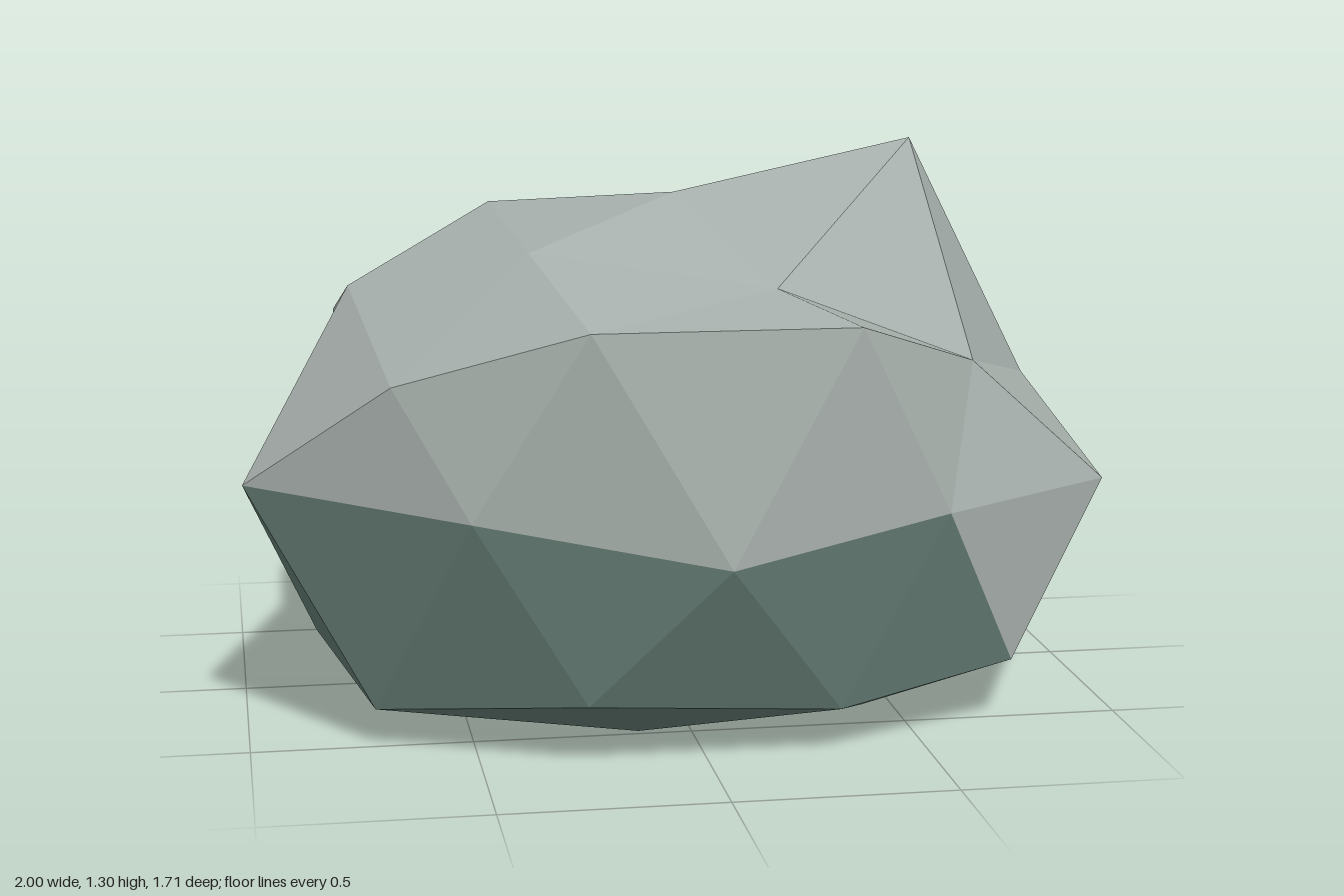
import * as THREE from 'three';

// Cross-sections of the boulder, top to bottom; points run round from +x towards +z.
const crown = [0.03, 1.185, 0.05];
const shoulder = [[0.6, 1.305, 0.05], [0.19, 1.02, 0.51], [-0.35, 1.09, 0.36], [-0.38, 1.135, -0.24], [0.2, 1.12, -0.39]];
const upper = [
  [0.89, 0.73, 0.05], [0.65, 0.84, 0.48], [0.33, 0.97, 0.76], [-0.27, 0.98, 0.81], [-0.68, 0.84, 0.61],
  [-0.74, 0.98, 0.05], [-0.75, 0.84, -0.49], [-0.25, 0.81, -0.68], [0.26, 0.86, -0.72], [0.71, 0.81, -0.45],
];
const waist = [
  [1, 0.53, 0.37], [0.55, 0.535, 0.69], [0.03, 0.465, 0.855], [-0.52, 0.56, 0.74], [-1, 0.58, 0.36],
  [-0.8, 0.55, -0.25], [-0.52, 0.48, -0.75], [0.03, 0.485, -0.855], [0.58, 0.48, -0.62], [0.9, 0.495, -0.26],
];
const lower = [
  [0.83, 0.1, 0.05], [0.74, 0.148, 0.54], [0.3, 0.105, 0.72], [-0.27, 0.145, 0.75], [-0.72, 0.09, 0.51],
  [-0.83, 0.152, 0.05], [-0.63, 0.125, -0.43], [-0.21, 0.14, -0.68], [0.31, 0.1, -0.76], [0.69, 0.157, -0.38],
];
const foot = [[0.43, 0, 0.36], [-0.12, 0, 0.48], [-0.49, 0, 0.05], [-0.13, 0, -0.36], [0.4, 0, -0.25]];
const base = [0.03, 0, 0.05];
const centre = new THREE.Vector3(0.03, 0.5, 0.05);

// Cap of 20 facets joining a pole, a ring of 5 and a ring of 10
function addCap(faces, pole, five, ten, shift) {
  for (let j = 0; j < 5; j++) {
    const a = five[j], b = five[(j + 1) % 5];
    const [p, q, r] = [0, 1, 2].map((i) => ten[(2 * j + shift + i) % 10]);
    faces.push([pole, a, b], [a, p, q], [a, q, b], [b, q, r]);
  }
}

// Flat-sided mesh, with every facet turned outwards
function facetMesh(name, faces, material) {
  const points = [];
  for (const face of faces) {
    const [a, b, c] = face.map((p) => new THREE.Vector3(...p));
    const normal = b.clone().sub(a).cross(c.clone().sub(a));
    const outward = a.clone().add(b).add(c).divideScalar(3).sub(centre);
    points.push(...(normal.dot(outward) > 0 ? [a, b, c] : [a, c, b]));
  }
  const geometry = new THREE.BufferGeometry().setFromPoints(points);
  geometry.computeVertexNormals();
  const mesh = new THREE.Mesh(geometry, material);
  mesh.name = name;
  return mesh;
}

export function createModel() {
  const stone = new THREE.MeshStandardMaterial({ color: 0xa6afab });
  stone.name = 'pale stone';
  const moss = new THREE.MeshStandardMaterial({ color: 0x637a72 });
  moss.name = 'dark green stone';

  const pale = [], dark = [];
  addCap(pale, crown, shoulder, upper, 0);
  addCap(dark, base, foot, lower, 1);

  // Zigzag bands above and below the waist, with a few facets of the other colour
  for (let k = 0; k < 10; k++) {
    const n = (k + 1) % 10;
    pale.push([upper[k], upper[n], waist[k]]);
    (k === 5 ? dark : pale).push([waist[k], waist[n], upper[n]]);
    dark.push([lower[k], lower[n], waist[k]]);
    (k === 0 || k === 7 ? pale : dark).push([waist[k], waist[n], lower[n]]);
  }

  const group = new THREE.Group();
  group.name = 'boulder';
  group.add(facetMesh('upperStone', pale, stone), facetMesh('lowerStone', dark, moss));
  return group;
}
